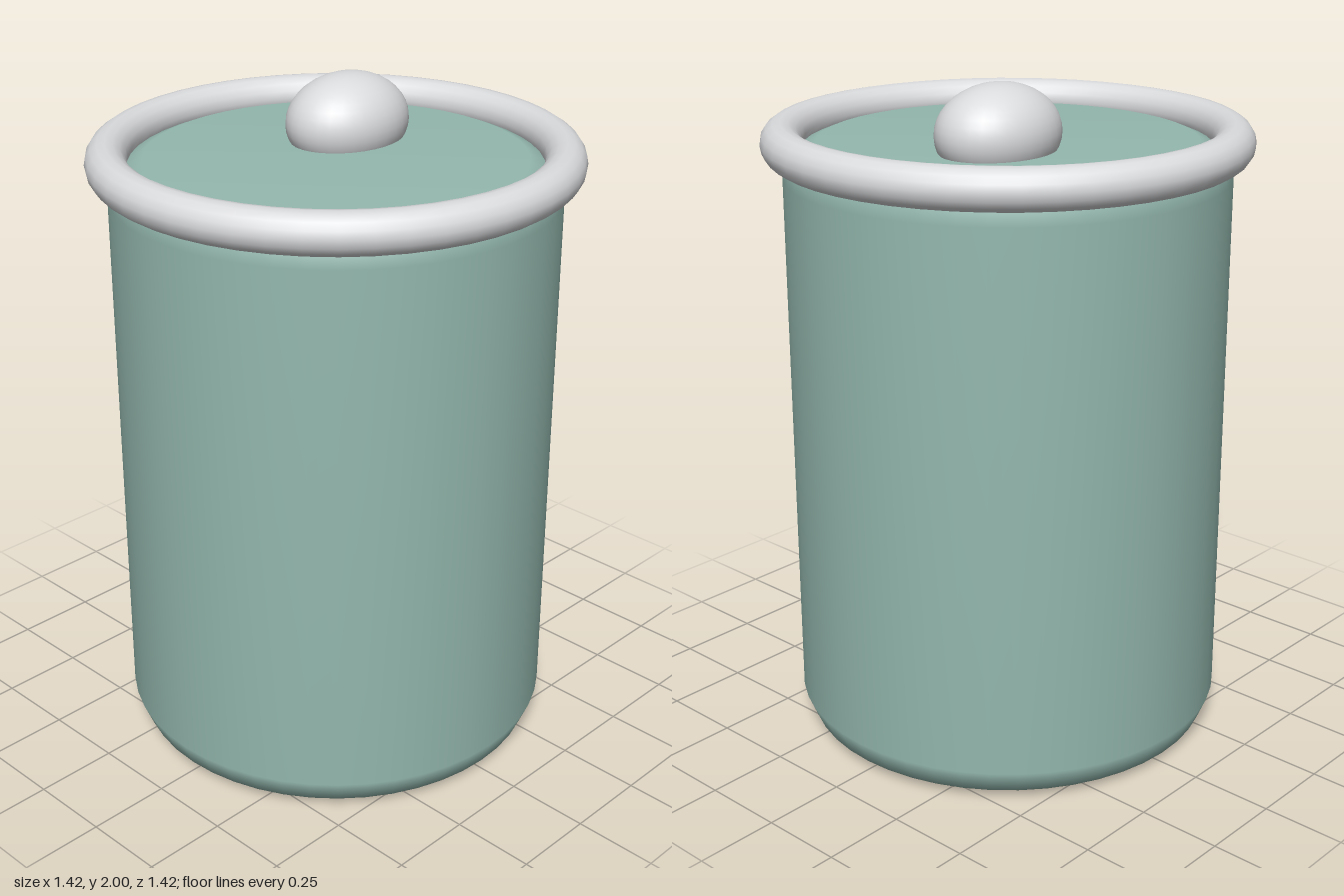
import * as THREE from 'three';

const sage = new THREE.MeshStandardMaterial({ name: 'sage green', color: 0x94b8ae });
const silver = new THREE.MeshStandardMaterial({ name: 'pale silver', color: 0xdadbdd });

const RADIUS = 0.65;
const HEIGHT = 1.81;
const BEVEL = 0.1;

function addPart(group, name, geometry, material) {
  const mesh = new THREE.Mesh(geometry, material);
  mesh.name = name;
  group.add(mesh);
  return mesh;
}

// Closed canister profile with two-step bevels at the base and the shoulder
function bodyProfile() {
  const inset = BEVEL * (1 - Math.SQRT1_2);
  const lower = [[0, 0], [RADIUS - BEVEL, 0], [RADIUS - inset, inset], [RADIUS, BEVEL]];
  const upper = lower.map(([r, y]) => [r, HEIGHT - y]).reverse();
  return [...lower, ...upper].map(([r, y]) => new THREE.Vector2(r, y));
}

export function createModel() {
  const group = new THREE.Group();
  group.name = 'canister';

  addPart(group, 'body', new THREE.LatheGeometry(bodyProfile(), 48), sage);

  // Round rim lying around the top edge
  const rim = addPart(group, 'rim', new THREE.TorusGeometry(RADIUS, 0.06, 16, 48), silver);
  rim.rotation.x = Math.PI / 2;
  rim.position.y = HEIGHT;

  // Off-centre oval knob, partly sunk into the lid
  const knob = addPart(group, 'knob', new THREE.SphereGeometry(1, 32, 20), silver);
  knob.scale.set(0.2, 0.14, 0.16);
  knob.position.set(0.15, 1.86, -0.1);

  return group;
}
